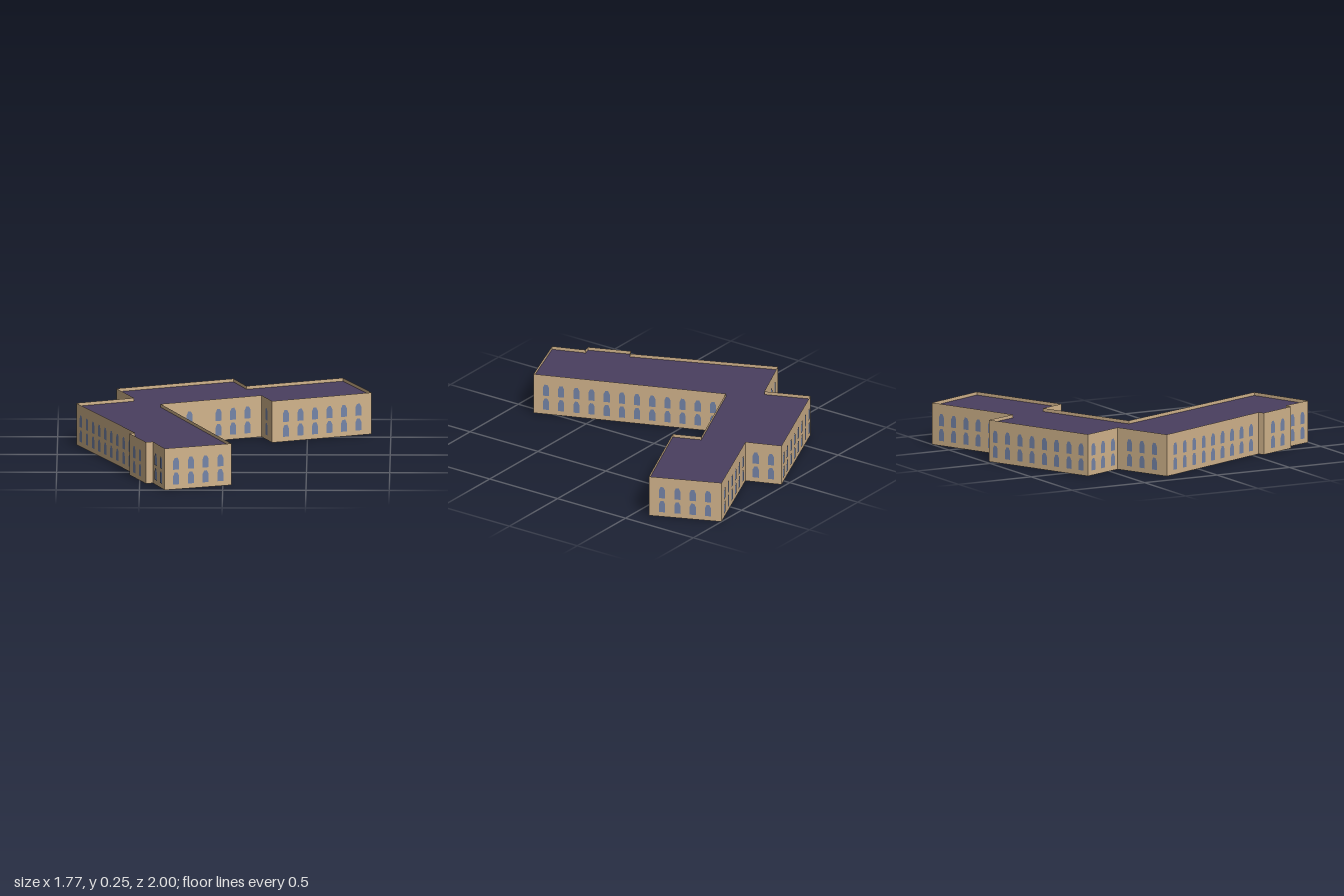
import * as THREE from 'three';

// Footprint corners (x, z), clockwise seen from above
const OUTLINE = [
  [0.053, -0.976], [0.132, -0.767], [0.709, -1.0], [0.885, -0.59],
  [0.289, -0.343], [0.224, -0.507], [-0.38, -0.258], [0.051, 0.852],
  [-0.348, 0.998], [-0.42, 0.803], [-0.463, 0.815], [-0.563, 0.57],
  [-0.528, 0.554], [-0.887, -0.282], [-0.542, -0.427], [-0.648, -0.692],
];
const WALL_HEIGHT = 0.255;
const ROOF_HEIGHT = 0.235;    // the walls rise past the roof as a parapet
const PITCH = 0.094;          // spacing of window columns
const FLOORS = [0.03, 0.121]; // sill heights
const COURTYARD_WALL = 5;     // this wall leaves out its third column

export function createModel() {
  const model = new THREE.Group();
  model.name = 'building';

  const material = (name, color, side) => {
    const m = new THREE.MeshStandardMaterial({ color, side });
    m.name = name;
    return m;
  };
  const wallMaterial = material('tan wall', 0xd2b48c, THREE.DoubleSide);
  const roofMaterial = material('purple roof', 0x4a3f5f, THREE.DoubleSide);
  const windowMaterial = material('blue glass', 0x7484a8, THREE.FrontSide);

  const add = (parent, name, geometry, mat, x = 0, y = 0, z = 0) => {
    const mesh = new THREE.Mesh(geometry, mat);
    mesh.name = name;
    mesh.position.set(x, y, z);
    parent.add(mesh);
  };

  // Window pane with a chamfered head
  const pane = new THREE.ShapeGeometry(new THREE.Shape([
    new THREE.Vector2(-0.019, 0), new THREE.Vector2(0.019, 0),
    new THREE.Vector2(0.019, 0.052), new THREE.Vector2(0.009, 0.073),
    new THREE.Vector2(-0.009, 0.073), new THREE.Vector2(-0.019, 0.052),
  ]));

  // One wall per footprint edge, with two rows of windows on its outer face
  OUTLINE.forEach(([ax, az], i) => {
    const [bx, bz] = OUTLINE[(i + 1) % OUTLINE.length];
    const dx = bx - ax, dz = bz - az;
    const length = Math.hypot(dx, dz);
    const side = new THREE.Group();
    side.name = 'wallSection';
    side.position.set((ax + bx) / 2, 0, (az + bz) / 2);
    side.rotation.y = Math.atan2(dz, -dx);
    model.add(side);

    add(side, 'wall', new THREE.PlaneGeometry(length, WALL_HEIGHT), wallMaterial, 0, WALL_HEIGHT / 2);

    const columns = Math.floor(length / PITCH);
    for (let c = 0; c < columns; c++) {
      if (i === COURTYARD_WALL && c === 2) continue;
      const x = (c - (columns - 1) / 2) * PITCH;
      for (const y of FLOORS) add(side, 'window', pane, windowMaterial, x, y, 0.003);
    }
  });

  // Flat roof sunk just below the parapet
  const roof = new THREE.ShapeGeometry(new THREE.Shape(OUTLINE.map(([x, z]) => new THREE.Vector2(x, -z))));
  roof.rotateX(-Math.PI / 2);
  add(model, 'roof', roof, roofMaterial, 0, ROOF_HEIGHT);

  return model;
}
